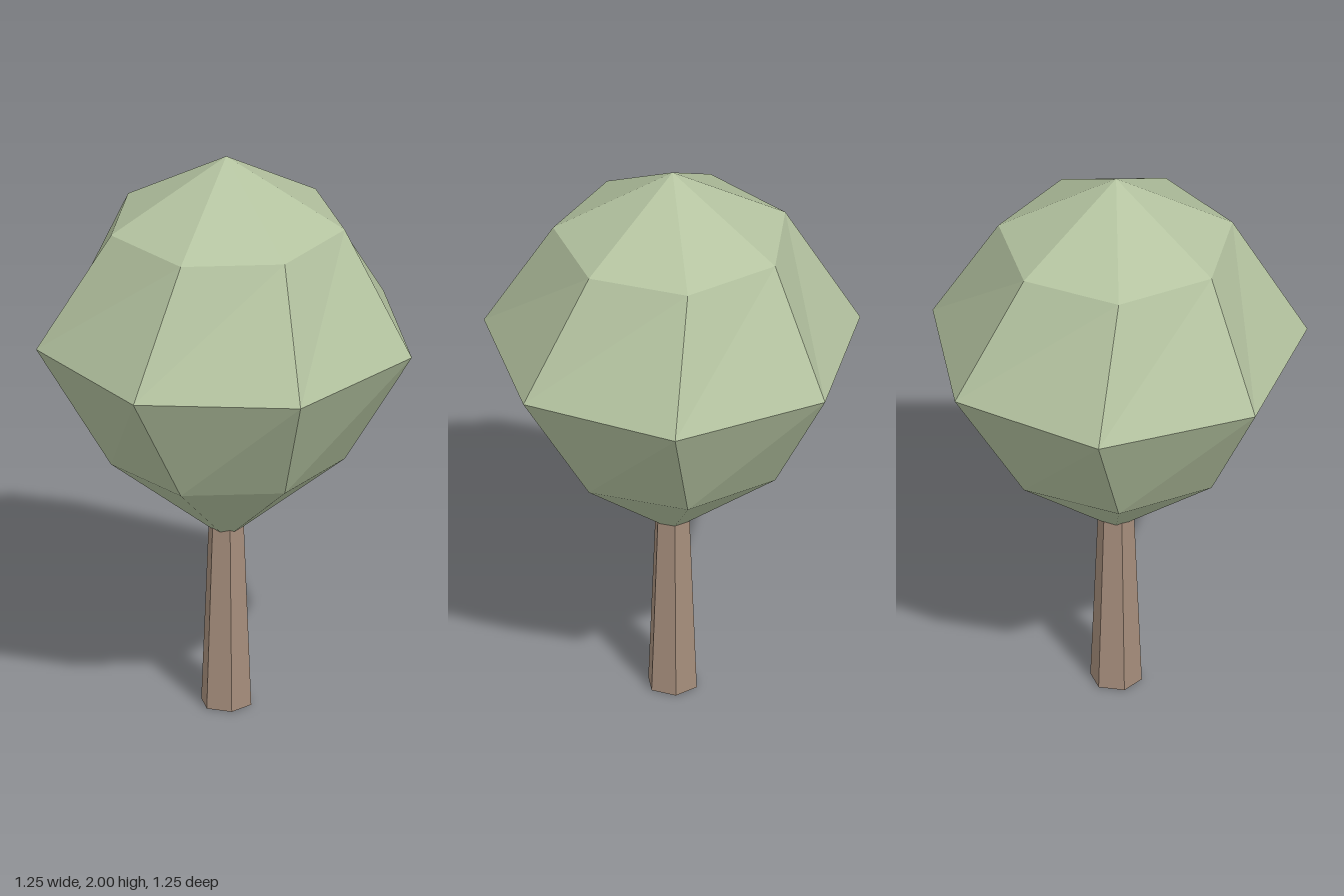
import * as THREE from 'three';

const SIDES = 7;
const CENTRE = { x: -0.017, z: 0.015 };

// Faceted crown: horizontal rings of points, closed by a tip at each end.
function crownGeometry() {
  // [height, radius, twist in degrees]
  const rings = [[2, 0, 0], [1.76, 0.402, 0], [1.34, 0.646, 6.5], [0.92, 0.402, 0], [0.6, 0, 0]];
  const point = (j, i) => {
    const [y, r, twist] = rings[j];
    const a = (i / SIDES) * Math.PI * 2 + THREE.MathUtils.degToRad(twist);
    return [r * Math.cos(a), y, r * Math.sin(a)];
  };
  const pos = [];
  for (let j = 0; j < rings.length - 1; j++) {
    for (let i = 0; i < SIDES; i++) {
      const a = point(j, i), b = point(j, i + 1);
      const c = point(j + 1, i), d = point(j + 1, i + 1);
      if (rings[j][1] > 0) pos.push(...a, ...b, ...d);
      if (rings[j + 1][1] > 0) pos.push(...a, ...d, ...c);
    }
  }
  const geo = new THREE.BufferGeometry();
  geo.setAttribute('position', new THREE.Float32BufferAttribute(pos, 3));
  geo.computeVertexNormals();
  return geo;
}

export function createModel() {
  const leafGreen = new THREE.MeshStandardMaterial({ color: 0xb4c3a0, flatShading: true });
  leafGreen.name = 'leafGreen';
  const barkBrown = new THREE.MeshStandardMaterial({ color: 0xa58d7b, flatShading: true });
  barkBrown.name = 'barkBrown';

  const tree = new THREE.Group();
  tree.name = 'tree';

  // Leafy crown
  const crown = new THREE.Mesh(crownGeometry(), leafGreen);
  crown.name = 'crown';
  crown.position.set(CENTRE.x, 0, CENTRE.z);
  tree.add(crown);

  // Tapered six-sided trunk, its top tucked into the crown
  const height = 0.7;
  const trunk = new THREE.Mesh(
    new THREE.CylinderGeometry(0.06, 0.088, height, 6, 1, false, Math.PI / 2), barkBrown);
  trunk.name = 'trunk';
  trunk.position.set(CENTRE.x, height / 2, CENTRE.z);
  tree.add(trunk);

  return tree;
}
